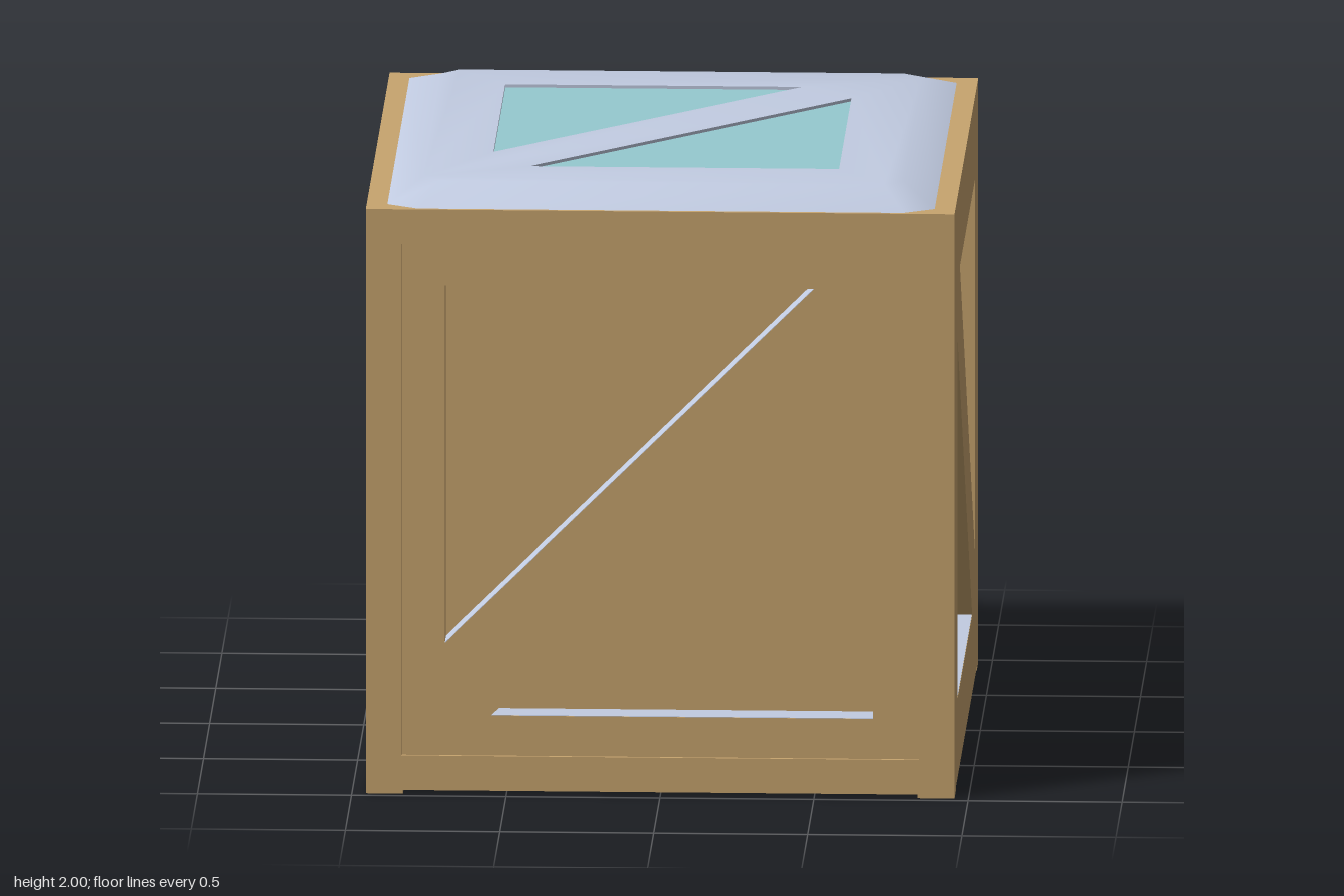
import * as THREE from 'three';
import { mergeGeometries, toCreasedNormals } from 'three/addons/utils/BufferGeometryUtils.js';

const mat = (name, color) => {
  const m = new THREE.MeshStandardMaterial({ color });
  m.name = name;
  return m;
};

const polygon = (pts) => new THREE.Shape(pts.map(([x, y]) => new THREE.Vector2(x, y)));

// Flat board in XY with cut-outs, running from z0 to z1
function board(outline, holes, z0, z1) {
  const shape = polygon(outline);
  shape.holes = holes.map(polygon);
  const g = new THREE.ExtrudeGeometry(shape, { depth: z1 - z0, bevelEnabled: false });
  return g.translate(0, 0, z0);
}

const rect = (x, y0, y1) => [[-x, y0], [x, y0], [x, y1], [-x, y1]];

// Octagon with cut corners
const octagon = (x, y, cx, cy) => [
  [x, -cy], [x, cy], [cx, y], [-cx, y], [-x, cy], [-x, -cy], [-cx, -y], [cx, -y],
];

export function createModel() {
  const wood = mat('wood', 0xc8a56f);
  const snow = mat('snow', 0xc2cce2);
  const ice = mat('ice', 0x96cad0);
  const model = new THREE.Group();
  model.name = 'snowyCrate';

  const add = (parent, name, geometry, material, x = 0, y = 0, z = 0) => {
    const mesh = new THREE.Mesh(geometry, material);
    mesh.name = name;
    mesh.position.set(x, y, z);
    parent.add(mesh);
    return mesh;
  };

  // Recessed inner panels on every side
  add(model, 'innerPanels', new THREE.BoxGeometry(1.71, 1.73, 1.72), wood, 0, 0.977, 0);

  // Four walls; each has two triangular openings and snow on their rising ledges
  const frontHoles = [
    [[-0.70, 1.69], [-0.70, 0.50], [0.50, 1.69]],
    [[0.69, 1.49], [-0.55, 0.26], [0.69, 0.26]],
  ];
  const sideHoles = [
    [[0.71, 1.67], [-0.53, 1.67], [0.71, 0.42]],
    [[-0.72, 1.47], [-0.72, 0.275], [0.47, 0.275]],
  ];
  const walls = [
    ['front', 0, frontHoles, 0.84, 0.96],
    ['left', Math.PI / 2, sideHoles, 0.97, 0.955],
    ['back', Math.PI, frontHoles, 0.84, 0.96],
    ['right', -Math.PI / 2, sideHoles, 0.97, 0.955],
  ];
  for (const [name, turn, holes, halfWidth, face] of walls) {
    const wall = new THREE.Group();
    wall.name = name + 'Wall';
    wall.rotation.y = turn;
    model.add(wall);
    add(wall, name + 'Frame', board(rect(halfWidth, 0.127, 1.83), holes, face - 0.115, face), wood);
    for (const [[ax, ay], [bx, by]] of [holes[0].slice(1), holes[1].slice(1)]) {
      const length = Math.hypot(bx - ax, by - ay);
      const ledge = add(wall, name + 'LedgeSnow', new THREE.BoxGeometry(length, 0.003, 0.1), snow,
        (ax + bx) / 2, (ay + by) / 2, face - 0.051);
      ledge.rotation.z = Math.atan2(by - ay, bx - ax);
    }
  }

  // Lid and base boards
  add(model, 'lid', new THREE.BoxGeometry(1.91, 0.115, 1.94), wood, 0, 1.8875, 0);
  const baseHoles = [
    [[0.70, -0.74], [0.70, 0.47], [-0.50, -0.74]],
    [[-0.70, 0.73], [0.53, 0.73], [-0.70, -0.49]],
  ];
  const base = board(rect(0.955, -0.97, 0.97), baseHoles, -0.127, -0.012);
  add(model, 'base', base.rotateX(Math.PI / 2), wood);

  // Low corner feet
  for (const x of [-1, 1]) for (const z of [-1, 1]) {
    add(model, 'foot', new THREE.BoxGeometry(0.12, 0.02, 0.12), wood, x * 0.895, 0.01, z * 0.91);
  }

  // Snow cap: flat top with two openings and a sloping rim
  const iceShapes = [
    [[-0.565, 0.585], [-0.565, -0.375], [0.40, 0.585]],
    [[0.565, 0.43], [-0.44, -0.575], [0.565, -0.575]],
  ];
  const inner = octagon(0.78, 0.79, 0.72, 0.73);
  const outer = octagon(0.89, 0.96, 0.79, 0.90);
  const top = board(inner, iceShapes, 1.985, 2).toNonIndexed();
  const rimPoints = [];
  for (let i = 0; i < 8; i++) {
    const j = (i + 1) % 8;
    const a = [...outer[i], 1.944], b = [...outer[j], 1.944];
    const c = [...inner[j], 2], d = [...inner[i], 2];
    rimPoints.push(...a, ...b, ...c, ...a, ...c, ...d);
  }
  const rim = new THREE.BufferGeometry();
  rim.setAttribute('position', new THREE.Float32BufferAttribute(rimPoints, 3));
  rim.computeVertexNormals();
  top.deleteAttribute('uv');
  top.clearGroups();
  const cap = toCreasedNormals(mergeGeometries([top, rim]), 0.7);
  add(model, 'snowCap', cap.rotateX(-Math.PI / 2), snow);

  // Ice plates set into the snow
  for (const pts of iceShapes) {
    add(model, 'icePlate', board(pts, [], 1.982, 1.99).rotateX(-Math.PI / 2), ice);
  }

  return model;
}
